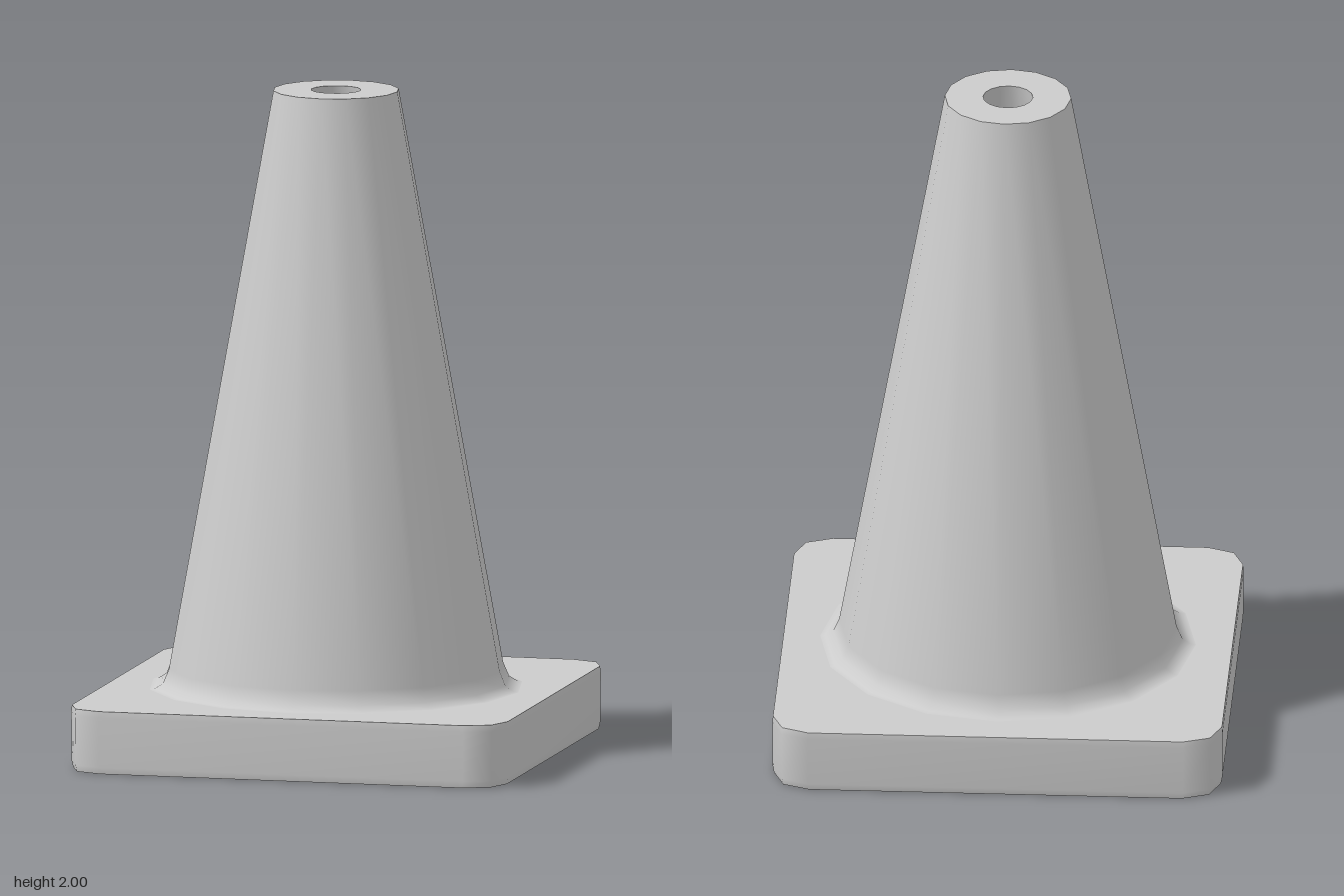
import * as THREE from 'three';

const SIDES = 16;
const HOLE = 0.565; // radius where the flat plate meets the fillets
const PLATE_TOP = 0.19;

const v2 = (pairs) => pairs.map(([x, y]) => new THREE.Vector2(x, y));

// Square outline with chamfered-round corners, counter-clockwise
function outline(scale) {
  const corner = [[0.677, 0.565], [0.645, 0.645], [0.565, 0.677]];
  const points = [];
  for (let q = 0; q < 4; q++) {
    const c = Math.round(Math.cos(q * Math.PI / 2)), s = Math.round(Math.sin(q * Math.PI / 2));
    for (const [x, y] of corner) {
      points.push(new THREE.Vector2((x * c - y * s) * scale, (x * s + y * c) * scale));
    }
  }
  return points;
}

// Flat plate face with a round opening
function plateFace(scale, y, turn) {
  const shape = new THREE.Shape(outline(scale));
  const ring = [];
  for (let i = 0; i < SIDES; i++) {
    const a = -i / SIDES * Math.PI * 2;
    ring.push(new THREE.Vector2(Math.cos(a) * HOLE, Math.sin(a) * HOLE));
  }
  shape.holes.push(new THREE.Path(ring));
  return new THREE.ShapeGeometry(shape).rotateX(turn).translate(0, y, 0);
}

// Plate edge lofted through stacked outlines
function plateEdge(levels) {
  const position = [], index = [];
  levels.forEach(([y, scale]) => {
    for (const p of outline(scale)) position.push(p.x, y, -p.y);
  });
  const n = position.length / 3 / levels.length;
  for (let l = 0; l < levels.length - 1; l++) {
    for (let i = 0; i < n; i++) {
      const a = l * n + i, b = l * n + (i + 1) % n;
      index.push(a, b, b + n, a, b + n, a + n);
    }
  }
  const g = new THREE.BufferGeometry();
  g.setAttribute('position', new THREE.Float32BufferAttribute(position, 3));
  g.setIndex(index);
  g.computeVertexNormals();
  return g;
}

export function createModel() {
  const group = new THREE.Group();
  const grey = new THREE.MeshStandardMaterial({ color: 0xcccccc });
  grey.name = 'plain grey';

  const add = (name, geometry) => {
    const mesh = new THREE.Mesh(geometry, grey);
    mesh.name = name;
    group.add(mesh);
  };
  const lathe = (pairs) => new THREE.LatheGeometry(v2(pairs), SIDES);

  // Square base plate
  add('baseTop', plateFace(0.997, PLATE_TOP, -Math.PI / 2));
  add('baseUnderside', plateFace(0.992, 0, Math.PI / 2));
  add('baseEdge', plateEdge([[0, 0.992], [0.02, 0.998], [0.17, 1], [PLATE_TOP, 0.997]]));

  // Tapered cone with a flared foot
  add('coneOuterWall', lathe([[HOLE, PLATE_TOP], [0.55, 0.192], [0.525, 0.208], [0.507, 0.25], [0.19, 2]]));
  add('coneTopRim', lathe([[0.19, 2], [0.075, 2]]));

  // Hollow inside, parallel to the outer wall and flaring softly to the underside
  add('coneInnerWall', lathe([[0.075, 2], [0.422, 0.075], [0.445, 0.035], [0.49, 0.01], [HOLE, 0]]));

  return group;
}
